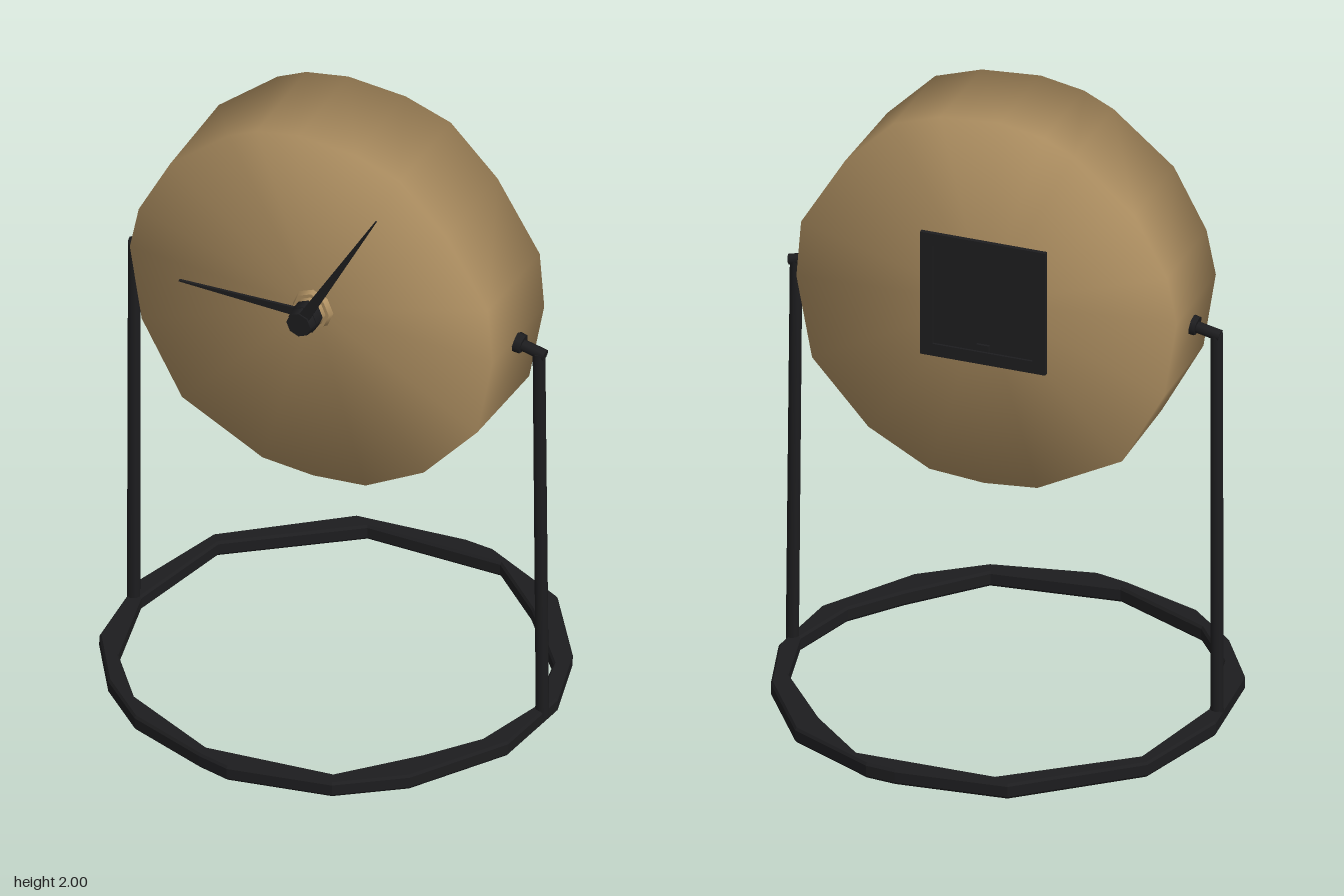
import * as THREE from 'three';

const tan = new THREE.MeshStandardMaterial({ color: 0xaf9062 });
tan.name = 'tan';
const black = new THREE.MeshStandardMaterial({ color: 0x1d1d1f });
black.name = 'black';

const CENTRE_Y = 1.39;

// Hand-cut outline of the case, counter-clockwise from the front
const CASE_OUTLINE = [
  [-0.05, 2.0], [-0.19, 1.975], [-0.285, 1.93], [-0.48, 1.77], [-0.585, 1.575], [-0.615, 1.43],
  [-0.575, 1.18], [-0.44, 0.935], [-0.17, 0.795], [0, 0.78], [0.175, 0.795], [0.37, 0.9],
  [0.55, 1.1], [0.6, 1.365], [0.585, 1.55], [0.445, 1.78], [0.29, 1.935], [0.14, 1.985],
];
// Base ring outlines as [x, z]
const RING_OUTER = [
  [0.085, -0.705], [0.18, -0.695], [0.46, -0.555], [0.635, -0.3], [0.7, -0.065], [0.67, 0.21],
  [0.485, 0.5], [0.295, 0.64], [-0.025, 0.7], [-0.13, 0.675], [-0.39, 0.58], [-0.545, 0.44],
  [-0.675, 0.235], [-0.7, -0.075], [-0.605, -0.395], [-0.265, -0.675],
];
const RING_INNER = [
  [0.23, -0.635], [0.42, -0.46], [0.605, -0.23], [0.655, 0], [0.59, 0.225], [0.47, 0.38],
  [0.275, 0.59], [-0.125, 0.63], [-0.44, 0.48], [-0.58, 0.3], [-0.65, 0], [-0.57, -0.36],
  [-0.21, -0.635],
];

const toPoints = (list) => list.map(([x, y]) => new THREE.Vector2(x, y));

function add(parent, name, geometry, material) {
  const mesh = new THREE.Mesh(geometry, material);
  mesh.name = name;
  parent.add(mesh);
  return mesh;
}

// Cylinder running between two points
function rod(parent, name, a, b, radiusA, radiusB, sides, material) {
  const from = new THREE.Vector3(...a);
  const dir = new THREE.Vector3(...b).sub(from);
  const mesh = add(parent, name,
    new THREE.CylinderGeometry(radiusB, radiusA, dir.length(), sides), material);
  mesh.position.copy(from).addScaledVector(dir, 0.5);
  mesh.quaternion.setFromUnitVectors(new THREE.Vector3(0, 1, 0), dir.normalize());
  return mesh;
}

// Drum with shared rim vertices, so its shading rolls over the edges
function caseGeometry() {
  const n = CASE_OUTLINE.length;
  const positions = [];
  const index = [];
  for (const [z, scale] of [[0.163, 0.99], [-0.178, 1]]) {
    for (const [x, y] of CASE_OUTLINE) {
      positions.push(x * scale, CENTRE_Y + (y - CENTRE_Y) * scale, z);
    }
  }
  positions.push(0, CENTRE_Y, 0.163, 0, CENTRE_Y, -0.178);
  for (let i = 0; i < n; i++) {
    const j = (i + 1) % n;
    index.push(i, n + i, n + j, i, n + j, j); // side
    index.push(2 * n, i, j, 2 * n + 1, n + j, n + i); // front and back
  }
  const geometry = new THREE.BufferGeometry();
  geometry.setAttribute('position', new THREE.Float32BufferAttribute(positions, 3));
  geometry.setIndex(index);
  geometry.computeVertexNormals();
  return geometry;
}

// Tapered pointer from the centre to its tip
function hand(parent, name, tipX, tipY, z, halfWidth) {
  const length = Math.hypot(tipX, tipY);
  const shape = new THREE.Shape(toPoints([
    [-0.02, -halfWidth], [0.04, -halfWidth], [length, -0.002], [length, 0.002],
    [0.04, halfWidth], [-0.02, halfWidth],
  ]));
  const mesh = add(parent, name,
    new THREE.ExtrudeGeometry(shape, { depth: 0.009, bevelEnabled: false }), black);
  mesh.position.set(0, CENTRE_Y, z);
  mesh.rotation.z = Math.atan2(tipY, tipX);
}

export function createModel() {
  const model = new THREE.Group();
  model.name = 'tableClock';

  // Case
  add(model, 'case', caseGeometry(), tan);

  // Hub and hands
  const dial = new THREE.Group();
  dial.name = 'handsAndHub';
  model.add(dial);
  const y = CENTRE_Y - 0.002;
  rod(dial, 'hubBase', [0, y, 0.155], [0, y, 0.18], 0.07, 0.06, 8, tan);
  rod(dial, 'hubCollar', [0, y, 0.175], [0, y, 0.198], 0.05, 0.045, 8, tan);
  rod(dial, 'hubLower', [0, y, 0.195], [0, y, 0.235], 0.047, 0.047, 8, black);
  rod(dial, 'hubCap', [0, y, 0.23], [0, y, 0.264], 0.045, 0.04, 8, black);
  hand(dial, 'hourHand', -0.425, -0.003, 0.198, 0.014);
  hand(dial, 'minuteHand', 0.253, 0.44, 0.251, 0.017);

  // Battery cover: raised frame with a sunken panel and a small catch
  const cover = new THREE.Group();
  cover.name = 'batteryCover';
  cover.position.set(0, CENTRE_Y, 0);
  model.add(cover);
  const frame = new THREE.Shape(toPoints([[-0.2, -0.205], [0.2, -0.205], [0.2, 0.205], [-0.2, 0.205]]));
  frame.holes.push(new THREE.Path(toPoints([[-0.16, -0.165], [-0.16, 0.165], [0.16, 0.165], [0.16, -0.165]])));
  add(cover, 'coverFrame',
    new THREE.ExtrudeGeometry(frame, { depth: 0.015, bevelEnabled: false }), black).position.z = -0.192;
  add(cover, 'coverPanel', new THREE.BoxGeometry(0.34, 0.35, 0.008), black).position.z = -0.18;
  add(cover, 'coverCatch', new THREE.BoxGeometry(0.04, 0.02, 0.012), black).position.set(0, -0.15, -0.187);

  // Base ring
  const ring = new THREE.Shape(toPoints(RING_OUTER));
  ring.holes.push(new THREE.Path(toPoints(RING_INNER)));
  const ringGeometry = new THREE.ExtrudeGeometry(ring, {
    depth: 0.034, bevelEnabled: true, bevelSegments: 1,
    bevelThickness: 0.008, bevelSize: 0.006, bevelOffset: -0.006,
  });
  ringGeometry.rotateX(Math.PI / 2);
  const base = add(model, 'baseRing', ringGeometry, black);
  base.position.y = 0.048;
  base.rotation.z = -0.004;

  // Posts with pivots into the case
  for (const [side, name, foot] of [[1, 'left', 0.682], [-1, 'right', 0.675]]) {
    const top = side > 0 ? 0.668 : 0.675;
    rod(model, name + 'Post', [side * foot, 0.03, 0.002], [side * top, 1.325, -0.003], 0.021, 0.02, 8, black);
    rod(model, name + 'Pivot', [side * 0.688, 1.32, -0.005], [side * 0.57, 1.345, -0.005], 0.018, 0.018, 8, black);
    rod(model, name + 'PivotFlange', [side * 0.615, 1.338, -0.005], [side * 0.59, 1.343, -0.005], 0.03, 0.032, 8, black);
  }

  return model;
}
